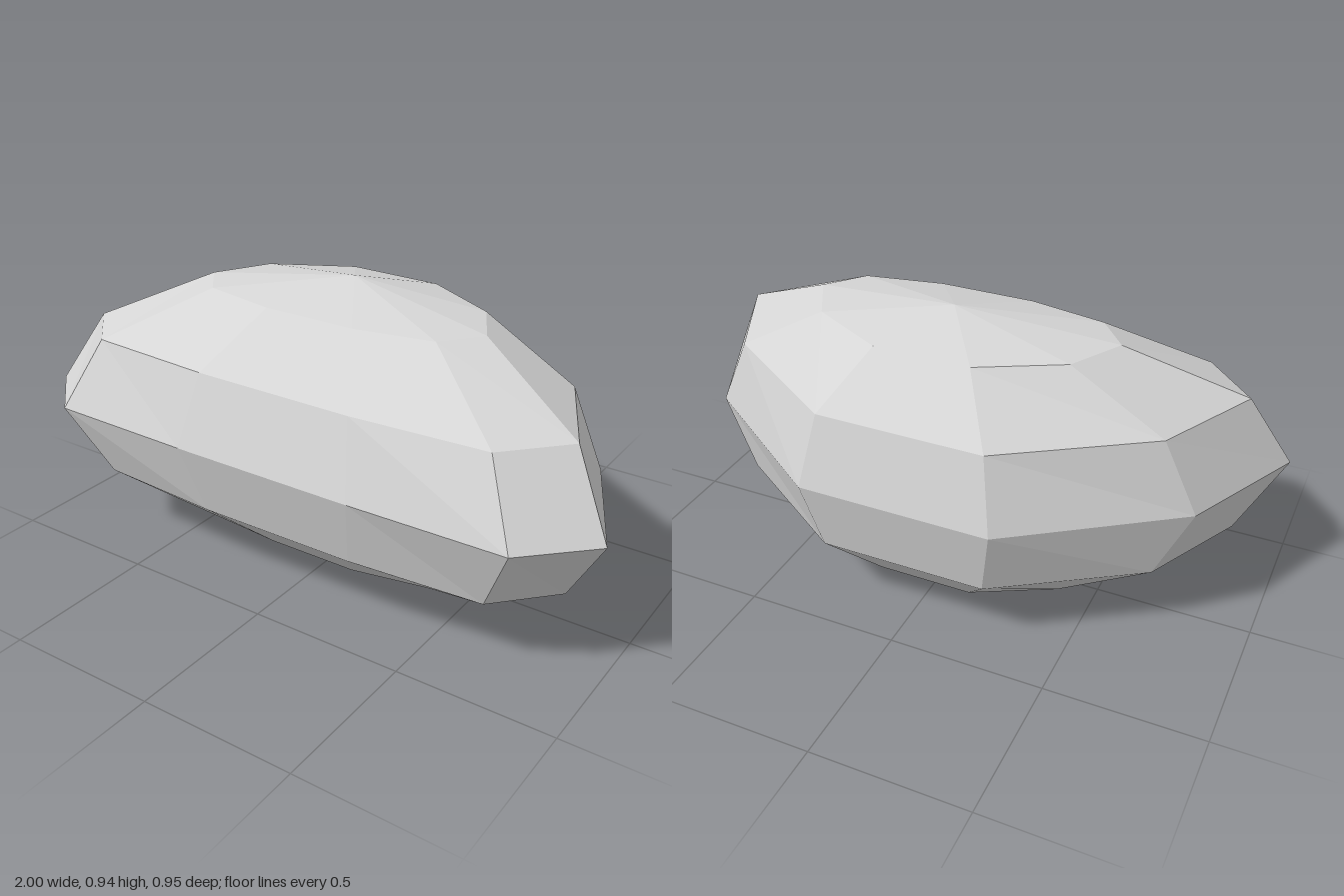
import * as THREE from 'three';

export function createModel() {
  const group = new THREE.Group();
  group.name = 'stone';

  const grey = new THREE.MeshStandardMaterial({ color: 0xd5d5d5 });
  grey.name = 'light stone grey';

  // Low-poly ellipsoid whose two ends are bent towards the front
  const sphere = new THREE.SphereGeometry(1, 10, 6);
  const pos = sphere.attributes.position;
  for (let i = 0; i < pos.count; i++) {
    const x = pos.getX(i);
    const y = 0.47 + 0.47 * pos.getY(i);
    const z = 0.5 * pos.getZ(i) + 0.307 * x * x - 0.03;
    pos.setXYZ(i, x, y, z);
  }

  // Separate faces with their own normals for crisp facets
  const facets = sphere.toNonIndexed();
  facets.computeVertexNormals();

  const body = new THREE.Mesh(facets, grey);
  body.name = 'curvedStoneBody';
  group.add(body);
  return group;
}
